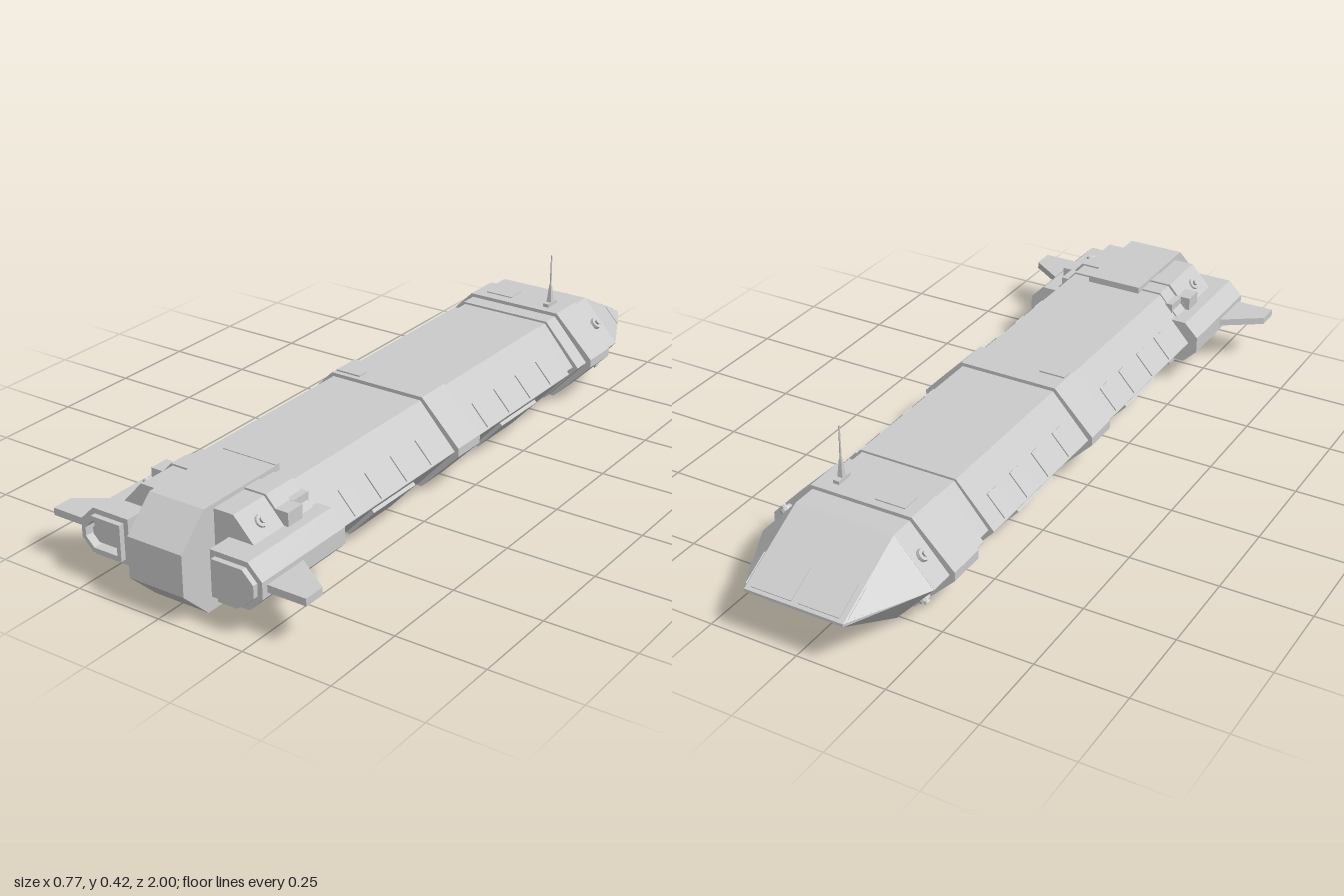
import * as THREE from 'three';
import { ConvexGeometry } from 'three/addons/geometries/ConvexGeometry.js';

const MID = 0.14; // height of the hull's widest line
const mat = new THREE.MeshStandardMaterial({ color: 0xcccccc, flatShading: true });
const SIDES = [1, -1];
const SLOPE = Math.atan2(0.12, 0.11); // tilt of the sloped flanks

export function createModel() {
  const root = new THREE.Group();

  function add(name, geo, x = 0, y = 0, z = 0) {
    const m = new THREE.Mesh(geo, mat);
    m.name = name;
    m.position.set(x, y, z);
    root.add(m);
    return m;
  }
  const box = (name, w, h, d, x, y, z) => add(name, new THREE.BoxGeometry(w, h, d), x, y, z);

  // Extrudes an outline in x,y from z0 to z1
  function prism(name, pts, z0, z1, hole) {
    const s = new THREE.Shape(pts.map(p => new THREE.Vector2(...p)));
    if (hole) s.holes.push(new THREE.Path(hole.map(p => new THREE.Vector2(...p))));
    return add(name, new THREE.ExtrudeGeometry(s, { depth: z1 - z0, bevelEnabled: false }), 0, 0, z0);
  }

  // Hexagonal hull section; flat is the half height of a narrow vertical side
  function hull(name, top, side, half, z0, z1, flat = 0.001) {
    prism(name, [
      [top, MID + half], [-top, MID + half], [-side, MID + flat], [-side, MID - flat],
      [-top, MID - half], [top, MID - half], [side, MID - flat], [side, MID + flat],
    ], z0, z1);
  }

  // Seats a part on a flank; t runs from the flat face (0) to the widest line (1)
  function onFlank(name, geo, t, z, sx, sy, lift = 0) {
    const x = 0.14 + 0.108 * t + lift * Math.sin(SLOPE);
    const y = 0.12 * (1 - t) + lift * Math.cos(SLOPE);
    const m = add(name, geo, sx * x, MID + sy * y, z);
    m.rotation.z = -Math.atan2(sx * Math.sin(SLOPE), sy * Math.cos(SLOPE));
  }

  // Thin raised plate over a flat polygon, on the side facing away from the hull
  function plate(name, pts, thick) {
    const v = pts.map(p => new THREE.Vector3(...p));
    const n = new THREE.Vector3().crossVectors(v[1].clone().sub(v[0]), v[2].clone().sub(v[0])).normalize();
    if (n.y < 0) n.negate();
    add(name, new ConvexGeometry([...v, ...v.map(p => p.clone().addScaledVector(n, thick))]));
  }

  // Main hull, recessed neck and raised bands
  hull('mainHull', 0.14, 0.248, 0.12, -0.5, 0.88);
  hull('neck', 0.136, 0.232, 0.114, -0.55, -0.5);
  hull('foreHull', 0.14, 0.248, 0.12, -0.78, -0.55);
  hull('foreBand', 0.145, 0.263, 0.13, -0.71, -0.6, 0.012);
  hull('middleBand', 0.145, 0.26, 0.13, 0, 0.105, 0.012);
  hull('tailBand', 0.145, 0.262, 0.13, 0.71, 0.765);
  hull('tailCollar', 0.14, 0.255, 0.125, 0.655, 0.88);

  // Wedge nose tapering to a horizontal edge
  const nose = [];
  for (const s of SIDES) {
    nose.push([s * 0.14, MID + 0.12, -0.78], [s * 0.14, MID - 0.12, -0.78], [s * 0.248, MID, -0.78],
      [s * 0.14, MID + 0.004, -1], [s * 0.14, MID - 0.004, -1]);
  }
  add('nose', new ConvexGeometry(nose.map(p => new THREE.Vector3(...p))));

  // Cockpit windows
  const onNose = (x, t) => [x, MID + 0.004 + 0.116 * t, -1 + 0.22 * t];
  for (const s of SIDES) {
    plate('frontWindow', [onNose(s * 0.01, 0.04), onNose(s * 0.125, 0.04), onNose(s * 0.125, 0.42), onNose(s * 0.01, 0.42)], 0.003);
    plate('sideWindow', [[s * 0.143, MID + 0.008, -0.985], [s * 0.143, MID + 0.05, -0.905], [s * 0.187, MID + 0.004, -0.905]], 0.003);
  }

  // Flank plates, access panels and steering thrusters
  for (const sx of SIDES) {
    for (const z0 of [0.19, -0.42]) {
      for (let i = 0; i < 4; i++) {
        onFlank('flankPlate', new THREE.BoxGeometry(0.076, 0.008, 0.045), 0.73, z0 + i * 0.112, sx, 1);
      }
    }
    for (const z of [0.355, -0.255]) {
      onFlank('accessPanel', new THREE.BoxGeometry(0.115, 0.02, 0.185), 0.42, z, sx, -1);
    }
    for (const sy of SIDES) {
      for (const [z, t] of [[-0.745, 0.5], [0.82, 0.26]]) {
        onFlank('thrusterRim', new THREE.CylinderGeometry(0.016, 0.018, 0.012, 12), t, z, sx, sy, 0.004);
        onFlank('thrusterNozzle', new THREE.CylinderGeometry(0.009, 0.006, 0.012, 12), t, z, sx, sy, 0.012);
      }
    }
  }

  // Underside hatches and landing pods
  for (const z of [0.355, -0.255]) {
    box('bellyHatch', 0.11, 0.012, 0.11, 0, 0.017, z);
    box('hatchCover', 0.085, 0.012, 0.085, 0, 0.013, z);
  }
  for (const sx of SIDES) {
    for (const z of [0.5, -0.4]) {
      const pod = add('bellyPod', new THREE.CylinderGeometry(0.03, 0.019, 0.022, 8), sx * 0.088, 0.011, z);
      pod.scale.x = 0.7;
      pod.scale.z = 1.3;
    }
  }

  // Central engine block, outlined in side view
  const block = new THREE.Shape([
    [0.63, 0.277], [0.63, 0.002], [0.915, 0.002], [1, 0.084], [1, 0.195], [0.915, 0.277],
  ].map(p => new THREE.Vector2(...p)));
  const blockGeo = new THREE.ExtrudeGeometry(block, { depth: 0.164, bevelEnabled: false });
  blockGeo.rotateY(-Math.PI / 2);
  add('engineBlock', blockGeo, 0.082);

  // Side engines with nested exhaust frames, saddles and fins
  const pod = (sx, d) => [
    [0.125 + d, 0.203 - d], [0.235 - d * 0.4, 0.203 - d], [0.275 - d, 0.163 - d * 0.4],
    [0.275 - d, 0.118 + d * 0.4], [0.235 - d * 0.4, 0.078 + d], [0.125 + d, 0.078 + d],
  ].map(([x, y]) => [sx * x, y]);
  for (const sx of SIDES) {
    prism('sideEngine', pod(sx, 0), 0.63, 0.935);
    prism('exhaustRim', pod(sx, 0), 0.935, 0.95, pod(sx, 0.014));
    prism('exhaustFrame', pod(sx, 0.014), 0.935, 0.965, pod(sx, 0.026));
    prism('exhaustCore', pod(sx, 0.036), 0.935, 0.95);

    for (const sy of SIDES) {
      box('engineSaddle', 0.06, 0.05, 0.055, sx * 0.18, MID + sy * 0.075, 0.738);
      box('engineShoulder', 0.045, 0.03, 0.06, sx * 0.16, MID + sy * 0.085, 0.68);
    }

    const fin = new THREE.Shape([[0.26, 0.785], [0.385, 0.87], [0.385, 0.932], [0.26, 0.932]]
      .map(([x, z]) => new THREE.Vector2(sx * x, z)));
    const finGeo = new THREE.ExtrudeGeometry(fin, { depth: 0.02, bevelEnabled: false });
    finGeo.rotateX(Math.PI / 2);
    add('fin', finGeo, 0, 0.15, 0);
  }

  // Small roof fittings
  box('roofBox', 0.075, 0.012, 0.03, -0.103, 0.268, 0.075);
  box('roofHatch', 0.085, 0.006, 0.055, -0.07, 0.27, -0.66);
  box('blockLip', 0.164, 0.006, 0.014, 0, 0.276, 0.637);

  // Antenna
  box('antennaBase', 0.018, 0.012, 0.05, 0.093, 0.274, -0.652);
  const foot = add('antennaFoot', new THREE.CylinderGeometry(0.005, 0.012, 0.05, 4, 1), 0.093, 0.305, -0.652);
  foot.rotation.y = Math.PI / 4;
  foot.scale.set(0.9, 1, 0.9);
  add('antennaMast', new THREE.CylinderGeometry(0.002, 0.003, 0.1, 8), 0.093, 0.373, -0.652);

  return root;
}
